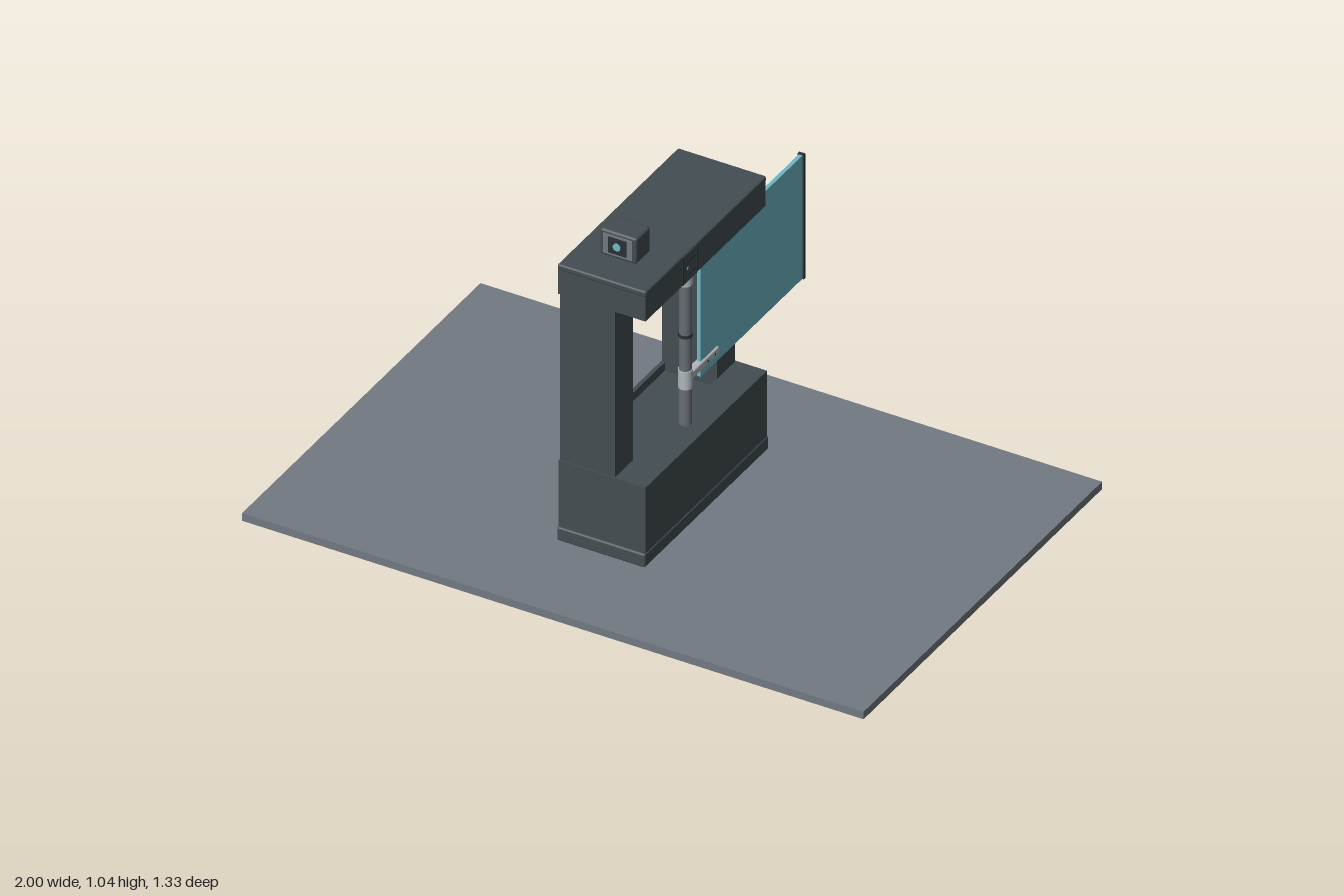
import * as THREE from 'three';
import { RoundedBoxGeometry } from 'three/addons/geometries/RoundedBoxGeometry.js';

const material = (name, color) => {
  const m = new THREE.MeshStandardMaterial({ color });
  m.name = name;
  return m;
};

export function createModel() {
  const model = new THREE.Group();
  model.name = 'gate';
  const frame = material('dark frame', 0x434d52);
  const trim = material('near black trim', 0x2b3134);
  const panelGrey = material('panel grey', 0x50595e);
  const floorGrey = material('floor grey', 0x727982);
  const steel = material('post steel', 0x666d74);
  const silver = material('light silver', 0xb0b6b9);
  const teal = material('teal glass', 0x6fb8c5);

  // Box given by its limits on each axis, with an optional edge radius
  const box = (name, mat, [x0, x1], [y0, y1], [z0, z1], r = 0, parent = model) => {
    const size = [x1 - x0, y1 - y0, z1 - z0];
    const geo = r ? new RoundedBoxGeometry(...size, 2, r) : new THREE.BoxGeometry(...size);
    const mesh = new THREE.Mesh(geo, mat);
    mesh.name = name;
    mesh.position.set((x0 + x1) / 2, (y0 + y1) / 2, (z0 + z1) / 2);
    parent.add(mesh);
    return mesh;
  };
  const group = (name) => {
    const g = new THREE.Group();
    g.name = name;
    model.add(g);
    return g;
  };

  box('floorSlab', floorGrey, [-1, 1], [0, 0.025], [-0.667, 0.667]);

  // Base cabinet with a shallow tray between the columns
  const base = group('base');
  box('plinth', frame, [-0.172, 0.112], [0.025, 0.07], [-0.347, 0.347], 0.006, base);
  box('baseBody', frame, [-0.17, 0.11], [0.07, 0.262], [-0.34, 0.34], 0, base);
  box('baseLedge', frame, [0.01, 0.11], [0.262, 0.29], [-0.34, 0.34], 0, base);
  box('baseRim', frame, [-0.17, -0.158], [0.262, 0.29], [-0.34, 0.34], 0, base);
  for (const s of [-1, 1]) {
    const z = [s * 0.235, s * 0.34].sort((a, b) => a - b);
    box('baseEnd', frame, [-0.158, 0.01], [0.262, 0.29], z, 0, base);
  }
  box('servicePanel', panelGrey, [-0.177, -0.169], [0.085, 0.265], [-0.21, 0.21], 0, base);

  // Two upright columns
  for (const s of [-1, 1]) {
    const z = [s * 0.235, s * 0.335].sort((a, b) => a - b);
    box(s > 0 ? 'frontColumn' : 'backColumn', frame, [-0.168, 0.01], [0.28, 0.925], z);
  }

  // Overhead beam, hollow and open below
  const beam = group('beam');
  box('beamTop', frame, [-0.175, 0.11], [0.925, 0.945], [-0.338, 0.338], 0.006, beam);
  for (const x of [-0.173, 0.094])
    box('beamSide', frame, [x, x + 0.014], [0.845, 0.935], [-0.336, 0.336], 0, beam);
  for (const z of [-0.336, 0.322])
    box('beamEnd', frame, [-0.172, 0.107], [0.845, 0.935], [z, z + 0.014], 0, beam);
  box('postMount', trim, [0.015, 0.07], [0.835, 0.926], [-0.03, 0.03], 0, beam);
  box('latchPlate', frame, [0.106, 0.111], [0.847, 0.94], [0.055, 0.13], 0, beam);
  for (const y of [0.87, 0.913])
    box('latchSeam', trim, [0.107, 0.112], [y - 0.002, y + 0.002], [0.057, 0.128], 0, beam);
  for (const z of [0.054, 0.13])
    box('latchEdge', trim, [0.107, 0.112], [0.847, 0.94], [z - 0.002, z + 0.002], 0, beam);
  box('latchButton', silver, [0.108, 0.113], [0.889, 0.896], [0.103, 0.11], 0, beam);

  // Hinge post built of stacked turned sections
  const post = group('hingePost');
  const sections = [
    ['lowerPost', steel, 0.28, 0.41, 0.019],
    ['lowerClamp', silver, 0.412, 0.472, 0.021],
    ['midPost', steel, 0.41, 0.58, 0.018],
    ['postJoint', trim, 0.582, 0.592, 0.02],
    ['upperPost', steel, 0.58, 0.756, 0.018],
    ['upperClamp', silver, 0.757, 0.817, 0.021],
    ['postCap', steel, 0.815, 0.84, 0.018],
  ];
  for (const [name, mat, y0, y1, r] of sections) {
    const mesh = new THREE.Mesh(new THREE.CylinderGeometry(r, r, y1 - y0, 24), mat);
    mesh.name = name;
    mesh.position.set(0.043, (y0 + y1) / 2, 0);
    post.add(mesh);
  }

  // Glass leaf with edge trim, carried by two bolted arms
  const gate = group('glassLeaf');
  box('glass', teal, [0.037, 0.049], [0.402, 0.815], [-0.645, -0.075], 0, gate);
  box('glassEndTrim', trim, [0.033, 0.053], [0.4, 0.817], [-0.655, -0.645], 0, gate);
  for (const y of [0.44, 0.787]) {
    box('hingeArm', silver, [0.031, 0.055], [y - 0.013, y + 0.013], [-0.17, -0.018], 0.005, gate);
    for (const z of [-0.105, -0.145]) {
      const bolt = new THREE.Mesh(new THREE.CylinderGeometry(0.004, 0.004, 0.027, 12), trim);
      bolt.name = 'armBolt';
      bolt.rotation.z = Math.PI / 2;
      bolt.position.set(0.043, y, z);
      gate.add(bolt);
    }
  }

  // Small camera on top of the beam
  const cam = group('camera');
  box('cameraFoot', trim, [-0.055, -0.011], [0.943, 0.957], [0.18, 0.225], 0, cam);
  box('cameraBody', frame, [-0.092, 0.026], [0.954, 1.04], [0.165, 0.245], 0.008, cam);
  box('cameraBezel', floorGrey, [-0.08, 0.014], [0.964, 1.03], [0.24, 0.248], 0, cam);
  box('lensPlate', trim, [-0.062, -0.004], [0.972, 1.024], [0.243, 0.251], 0, cam);
  const lens = new THREE.Mesh(new THREE.CylinderGeometry(0.012, 0.012, 0.008, 20), teal);
  lens.name = 'lens';
  lens.rotation.x = Math.PI / 2;
  lens.position.set(-0.033, 0.998, 0.25);
  cam.add(lens);

  return model;
}
